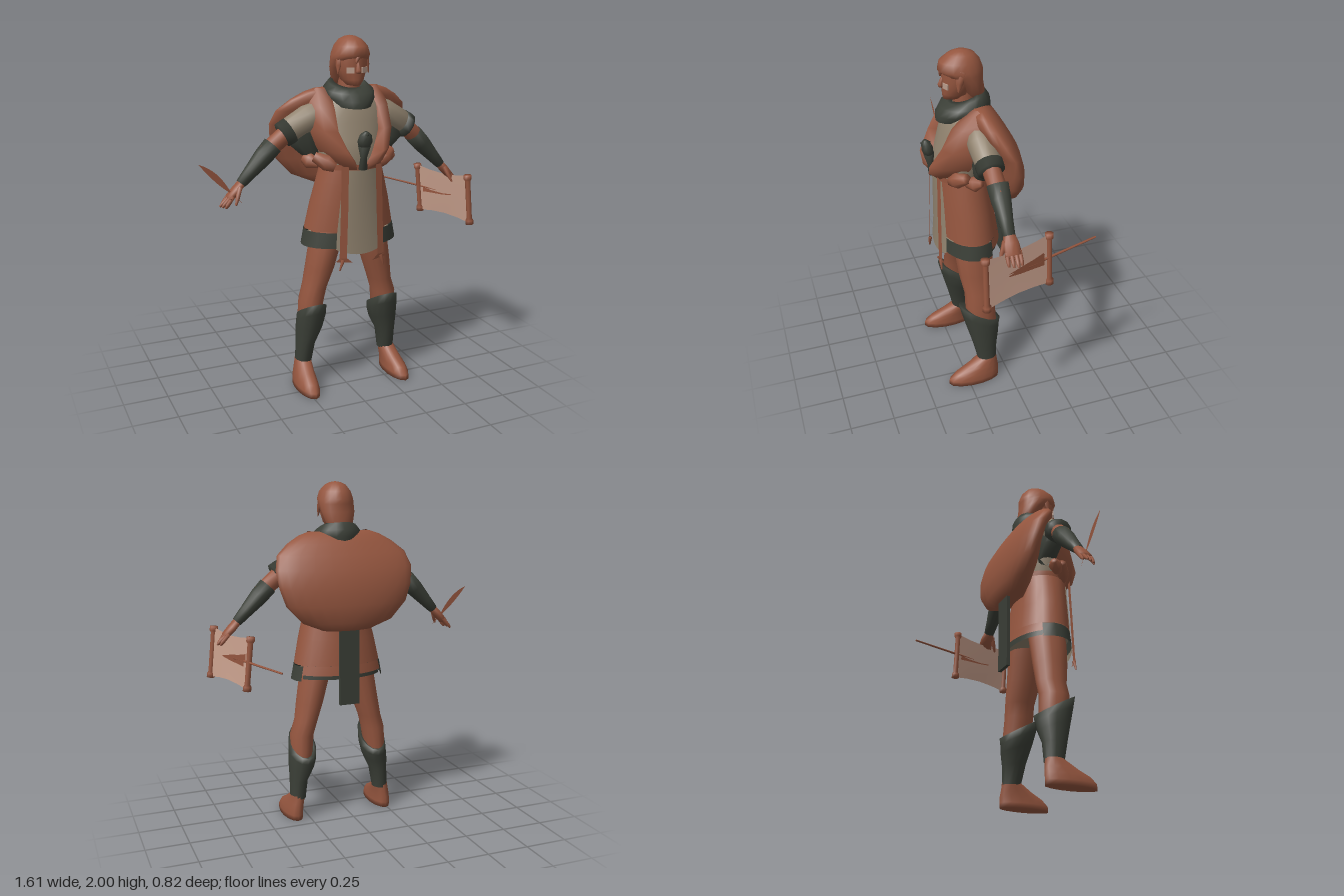
import * as THREE from 'three';

const mat = (name, color, side = THREE.DoubleSide) => {
  const m = new THREE.MeshStandardMaterial({ color, side });
  m.name = name;
  return m;
};

// Surface through rows of points; closed rows wrap around
function grid(rows, closed) {
  const n = rows[0].length, pos = rows.flat(2), idx = [];
  for (let i = 0; i < rows.length - 1; i++) {
    for (let j = 0; j < (closed ? n : n - 1); j++) {
      const k = (j + 1) % n, a = i * n + j, b = i * n + k, c = a + n, d = b + n;
      idx.push(a, b, d, a, d, c);
    }
  }
  const g = new THREE.BufferGeometry();
  g.setAttribute('position', new THREE.Float32BufferAttribute(pos, 3));
  g.setIndex(idx);
  g.computeVertexNormals();
  return g;
}

// Elliptical rings, bottom to top: [y, centreX, centreZ, radiusX, radiusZ, tilt]
function loft(rings, n = 16, a0 = 0, a1 = Math.PI * 2) {
  const full = a1 - a0 > 6.28;
  return grid(rings.map(([y, cx, cz, rx, rz, tilt = 0]) => {
    const row = [];
    for (let j = 0; j < (full ? n : n + 1); j++) {
      const a = a0 + (a1 - a0) * j / n;
      row.push([cx + rx * Math.sin(a), y + tilt * Math.cos(a), cz + rz * Math.cos(a)]);
    }
    return row;
  }), full);
}

// Rings given by their depth range: [y, centreX, halfWidth, zFront, zBack]
const depth = (rows) => rows.map(([y, cx, w, f, b]) => [y, cx, (f + b) / 2, w, (f - b) / 2]);

export function createModel() {
  const rust = mat('rust', 0x95563f), dark = mat('darkGreen', 0x3b3f37), taupe = mat('taupe', 0x91836f);
  const paper = mat('paper', 0xc79f8c), pale = mat('paleEye', 0xb99b8b);
  const root = new THREE.Group();
  const model = new THREE.Group();
  model.name = 'figure';
  model.position.x = 0.045;
  root.add(model);

  const add = (name, geo, m) => {
    const mesh = new THREE.Mesh(geo, m);
    mesh.name = name;
    model.add(mesh);
    return mesh;
  };
  // Tapered limb from p to q, rings [t, radiusAcross, radiusDepth]
  const limb = (name, p, q, rings, m, n = 10) => {
    const a = new THREE.Vector3(...p), d = new THREE.Vector3(...q).sub(a), len = d.length();
    const all = [[rings[0][0], 0, 0], ...rings, [rings.at(-1)[0], 0, 0]];
    const mesh = add(name, loft(all.map(([t, x, z]) => [t * len, 0, 0, x, z]), n), m);
    mesh.position.copy(a);
    mesh.quaternion.setFromUnitVectors(new THREE.Vector3(0, 1, 0), d.normalize());
    return mesh;
  };

  // Head: face, hair, nose, fringe, eyes
  add('face', loft(depth([[1.735, 0, 0, 0.25, 0.2], [1.74, 0, 0.035, 0.275, 0.15], [1.77, 0, 0.062, 0.28, 0.12],
    [1.82, 0, 0.08, 0.278, 0.12], [1.87, 0, 0.085, 0.282, 0.1], [1.92, 0, 0.08, 0.28, 0.1]])), rust);
  add('hair', loft(depth([[1.73, 0, 0, 0.1, 0.08], [1.735, 0, 0.055, 0.14, 0.06], [1.77, 0, 0.082, 0.17, 0.05],
    [1.83, 0, 0.1, 0.21, 0.06], [1.875, 0, 0.104, 0.27, 0.06], [1.9, 0, 0.103, 0.3, 0.058], [1.945, 0, 0.089, 0.29, 0.075],
    [1.98, 0, 0.06, 0.245, 0.105], [1.995, 0, 0.03, 0.21, 0.14], [2, 0, 0, 0.18, 0.17]]), 18), rust);
  limb('nose', [0, 1.865, 0.272], [0, 1.805, 0.288], [[0, 0.008, 0.008], [0.8, 0.016, 0.018], [1, 0.012, 0.01]], rust, 6);
  add('neck', new THREE.CylinderGeometry(0.055, 0.065, 0.14, 12), rust).position.set(0, 1.73, 0.16);
  for (const [x0, x1, y1] of [[-0.075, -0.09, 1.8], [-0.045, -0.06, 1.845], [0.01, -0.015, 1.86], [0.05, 0.06, 1.845], [0.08, 0.092, 1.8]]) {
    limb('hairLock', [x0, 1.91, 0.275 - Math.abs(x0)], [x1, y1, 0.3 - Math.abs(x1) * 0.9],
      [[0, 0.03, 0.02], [0.6, 0.02, 0.012], [1, 0.002, 0.002]], rust, 6);
  }

  // Torso, cowl and pack
  add('tunic', loft(depth([[1.29, 0, 0.17, 0.33, 0.06], [1.36, 0, 0.185, 0.34, 0.05], [1.45, 0, 0.2, 0.325, 0.04],
    [1.55, 0, 0.205, 0.295, 0.04], [1.63, 0, 0.19, 0.275, 0.05], [1.69, 0, 0.13, 0.24, 0.07], [1.72, 0, 0.06, 0.2, 0.1]]), 20), taupe);
  add('cowl', loft([[1.64, 0, 0.17, 0.115, 0.15, -0.02], [1.675, 0, 0.168, 0.135, 0.15, -0.02], [1.715, 0, 0.158, 0.14, 0.135, -0.02],
    [1.745, 0, 0.15, 0.11, 0.1, -0.03], [1.755, 0, 0.15, 0.085, 0.085, -0.03], [1.7, 0, 0.15, 0.06, 0.06, -0.02]], 18), dark);
  add('pack', loft(depth([[1.165, 0, 0, 0.02, -0.03], [1.17, 0, 0.15, 0.05, -0.07], [1.22, 0, 0.27, 0.06, -0.108], [1.32, 0, 0.365, 0.075, -0.115],
    [1.42, 0, 0.4, 0.08, -0.105], [1.52, 0, 0.413, 0.105, -0.075], [1.6, 0, 0.39, 0.155, -0.03], [1.66, 0, 0.32, 0.18, 0.01],
    [1.7, 0, 0.25, 0.18, 0.045], [1.72, 0, 0.19, 0.16, 0.08], [1.725, 0, 0, 0.13, 0.11]]), 24), rust);
  limb('claspStem', [0, 1.3, 0.35], [0, 1.43, 0.365], [[0, 0.025, 0.02], [0.5, 0.018, 0.018], [1, 0.035, 0.03]], dark);
  limb('claspHorn', [0, 1.42, 0.362], [0, 1.51, 0.385], [[0, 0.03, 0.025], [0.4, 0.042, 0.032], [0.8, 0.034, 0.025], [1, 0.012, 0.01]], dark);
  limb('claspTip', [0, 1.48, 0.36], [0, 1.497, 0.405], [[0, 0.03, 0.02], [1, 0.006, 0.005]], dark, 6);

  // Skirt: rust wrap, dark hem, pale front panel, back tail, belt
  const skirt = [[0.87, 0, 0.165, 0.278, 0.175], [0.95, 0, 0.165, 0.263, 0.17], [1.1, 0, 0.175, 0.232, 0.16], [1.22, 0, 0.185, 0.2, 0.15], [1.32, 0, 0.19, 0.172, 0.148]];
  const grow = (r, k) => r.map(([y, x, z, a, b, t]) => [y, x, z, a + k, b + k, t]);
  add('skirtWrap', loft(skirt.slice(1), 28), rust);
  add('skirtBack', loft([[0.895, 0, 0.165, 0.277, 0.178], skirt[1]], 12, 2.05, 4.23), rust);
  add('hem', loft([[0.857, 0, 0.165, 0.283, 0.177], [0.945, 0, 0.165, 0.266, 0.172]], 20, -2.05, 2.05), dark);
  add('hemBack', loft(grow(skirt.slice(0, 2), -0.008), 12, 2.05, 4.23), dark);
  add('skirtLining', loft([[0.91, 0, 0.165, 0, 0], [0.905, 0, 0.165, 0.26, 0.16]], 20), taupe);
  add('frontPanel', loft(grow([[1.07, 0, 0.165, 0.28, 0.177, -0.25], ...skirt.slice(1)], 0.007), 10, -0.53, 0.53), taupe);
  add('belt', loft([[1.295, 0, 0.19, 0.182, 0.156], [1.325, 0, 0.19, 0.184, 0.158]], 24), rust);
  add('backTail', new THREE.BoxGeometry(0.12, 0.5, 0.02), dark).position.set(0, 0.98, -0.045);

  // Paired parts
  for (const s of [-1, 1]) {
    const P = (u, y, z) => [s * u, y, z];

    // Harness drapes bulging over the chest
    add('chestDrape', grid([
      [P(0.24, 1.68, 0.1), P(0.18, 1.725, 0.14), P(0.115, 1.71, 0.17), P(0.115, 1.69, 0.13)],
      [P(0.25, 1.6, 0.13), P(0.2, 1.63, 0.235), P(0.13, 1.62, 0.27), P(0.125, 1.6, 0.23)],
      [P(0.245, 1.5, 0.17), P(0.2, 1.51, 0.29), P(0.135, 1.51, 0.33), P(0.12, 1.5, 0.27)],
      [P(0.2, 1.4, 0.19), P(0.165, 1.4, 0.33), P(0.1, 1.4, 0.39), P(0.075, 1.41, 0.31)],
      [P(0.16, 1.34, 0.21), P(0.12, 1.34, 0.345), P(0.06, 1.335, 0.385), P(0.03, 1.34, 0.32)],
      [P(0.13, 1.305, 0.22), P(0.08, 1.3, 0.33), P(0.035, 1.3, 0.35), P(0.015, 1.31, 0.31)],
    ]), rust);
    add('sideVest', loft([[1.36, s * 0.22, 0.13, 0.05, 0.05], [1.43, s * 0.25, 0.13, 0.1, 0.065], [1.5, s * 0.26, 0.13, 0.09, 0.06]], 10), dark);
    limb('beltPouch', P(0.13, 1.31, 0.28), P(0.23, 1.365, 0.22), [[0, 0.03, 0.03], [0.4, 0.045, 0.045], [1, 0.028, 0.03]], rust, 7);
    limb('beltKnot', P(0.2, 1.32, 0.21), P(0.27, 1.345, 0.15), [[0, 0.025, 0.025], [0.6, 0.045, 0.04], [1, 0.02, 0.02]], rust, 7);

    // Hanging ribbons with split ends
    add('ribbon', grid([[1.32, 0.344, 0.08], [1.1, 0.35, 0.085], [0.8, 0.355, 0.095]].map(([y, z, u]) => [P(u, y, z), P(u + 0.04, y, z - 0.008)])), rust);
    add('ribbonEnd', grid([[P(0.095, 0.81, 0.357), P(0.135, 0.81, 0.347)], [P(0.06, 0.78, 0.36), P(0.155, 0.79, 0.34)]]), rust);
    limb('tassel', P(0.115, 0.8, 0.35), P(0.135, 0.74, 0.35), [[0, 0.012, 0.012], [1, 0.004, 0.004]], rust, 5);

    // Arm
    limb('sleeve', P(0.14, 1.61, 0.14), P(0.37, 1.485, 0.135), [[0, 0.07, 0.07], [0.4, 0.078, 0.078], [1, 0.068, 0.07]], taupe, 12);
    limb('sleeveCuff', P(0.335, 1.503, 0.136), P(0.38, 1.478, 0.135), [[0, 0.074, 0.076], [1, 0.072, 0.074]], dark, 12);
    limb('elbow', P(0.34, 1.5, 0.135), P(0.47, 1.39, 0.12), [[0, 0.05, 0.05], [1, 0.048, 0.048]], rust);
    limb('bracer', P(0.43, 1.425, 0.12), P(0.615, 1.23, 0.12), [[0, 0.054, 0.06], [0.3, 0.052, 0.055], [0.7, 0.038, 0.04], [1, 0.028, 0.032]], dark, 12);
    limb('palm', P(0.6, 1.245, 0.12), P(0.685, 1.155, 0.12), [[0, 0.022, 0.028], [0.5, 0.024, 0.042], [1, 0.02, 0.045]], rust);
    for (let f = 0; f < 4; f++) {
      const z = 0.085 + f * 0.023;
      limb('finger', P(0.67, 1.17, z), P(0.735 - 0.012 * Math.abs(f - 1.2), 1.11, z), [[0, 0.012, 0.012], [0.7, 0.011, 0.011], [1, 0.006, 0.006]], rust, 6);
    }
    limb('thumb', P(0.63, 1.215, 0.15), P(0.665, 1.13, 0.185), [[0, 0.014, 0.014], [0.6, 0.012, 0.012], [1, 0.006, 0.006]], rust, 6);

    // Leg, boot and foot
    add('leg', loft([[0.13, s * 0.27, 0.125, 0.04, 0.05], [0.42, s * 0.235, 0.145, 0.065, 0.085], [0.52, s * 0.228, 0.155, 0.07, 0.088],
      [0.6, s * 0.205, 0.15, 0.068, 0.09], [0.72, s * 0.175, 0.16, 0.08, 0.103], [0.86, s * 0.145, 0.165, 0.088, 0.112], [0.98, s * 0.11, 0.165, 0.09, 0.11]], 14), rust);
    add('boot', loft([[0.13, s * 0.268, 0.125, 0.047, 0.056], [0.25, s * 0.258, 0.137, 0.054, 0.073, 0.01], [0.34, s * 0.238, 0.144, 0.076, 0.096, 0.03],
      [0.41, s * 0.228, 0.153, 0.082, 0.112, 0.055], [0.46, s * 0.225, 0.157, 0.077, 0.124, 0.07], [0.45, s * 0.225, 0.155, 0.06, 0.09, 0.06]], 14), dark);
    add('foot', loft(depth([[0, s * 0.285, 0, 0.22, 0.2], [0, s * 0.286, 0.06, 0.37, 0.06], [0.03, s * 0.286, 0.06, 0.368, 0.06], [0.065, s * 0.284, 0.056, 0.33, 0.06],
      [0.1, s * 0.278, 0.051, 0.26, 0.065], [0.15, s * 0.27, 0.045, 0.18, 0.07]]), 14), rust);

    // Pale patch around each eye
    add('eye', new THREE.BoxGeometry(0.042, 0.03, 0.006), pale).position.set(s * 0.042, 1.822, 0.271);
    model.children.at(-1).rotation.y = s * 0.42;
  }

  // Scroll in the left hand: two rods, bowed sheet and brush
  const ends = [[0.61, -0.105], [0.725, 0.28]];
  for (const [x, z] of ends) {
    limb('scrollRod', [x - 0.015, 1.185, z], [x + 0.015, 0.885, z], [[0, 0.024, 0.024], [0.08, 0.024, 0.024], [0.12, 0.016, 0.016],
      [0.88, 0.016, 0.016], [0.92, 0.024, 0.024], [1, 0.024, 0.024]], rust, 8);
  }
  const sheetRow = (y, dx) => [0, 0.25, 0.5, 0.75, 1].map((t) =>
    [ends[0][0] + 0.115 * t + dx, y + 0.02 * Math.sin(Math.PI * t) * (y > 1 ? -1 : 1), ends[0][1] + 0.385 * t]);
  add('scrollSheet', grid([sheetRow(0.89, 0.014), sheetRow(1.035, 0), sheetRow(1.18, -0.014)]), paper);
  for (const k of [-0.006, 0.006]) {
    add('scrollStain', grid([
      [[0.625 + k, 1.015, -0.07], [0.625 + k, 1.085, -0.07]], [[0.643 + k, 1.02, -0.01], [0.643 + k, 1.07, -0.01]],
      [[0.668 + k, 1.025, 0.075], [0.668 + k, 1.055, 0.075]], [[0.69 + k, 1.035, 0.15], [0.69 + k, 1.04, 0.15]]]), rust);
  }
  limb('brushShaft', [0.515, 1.045, -0.413], [0.655, 1.045, 0.03], [[0, 0.006, 0.005], [1, 0.008, 0.006]], rust, 6);

  // Quill in the right hand
  const quill = new THREE.Shape();
  quill.moveTo(-0.8, 1.355);
  quill.quadraticCurveTo(-0.7, 1.32, -0.635, 1.2);
  quill.lineTo(-0.565, 1.12);
  quill.lineTo(-0.645, 1.195);
  quill.quadraticCurveTo(-0.72, 1.25, -0.8, 1.355);
  add('quill', new THREE.ShapeGeometry(quill, 8), rust).position.set(-0.045, 0, 0.13);

  return root;
}
